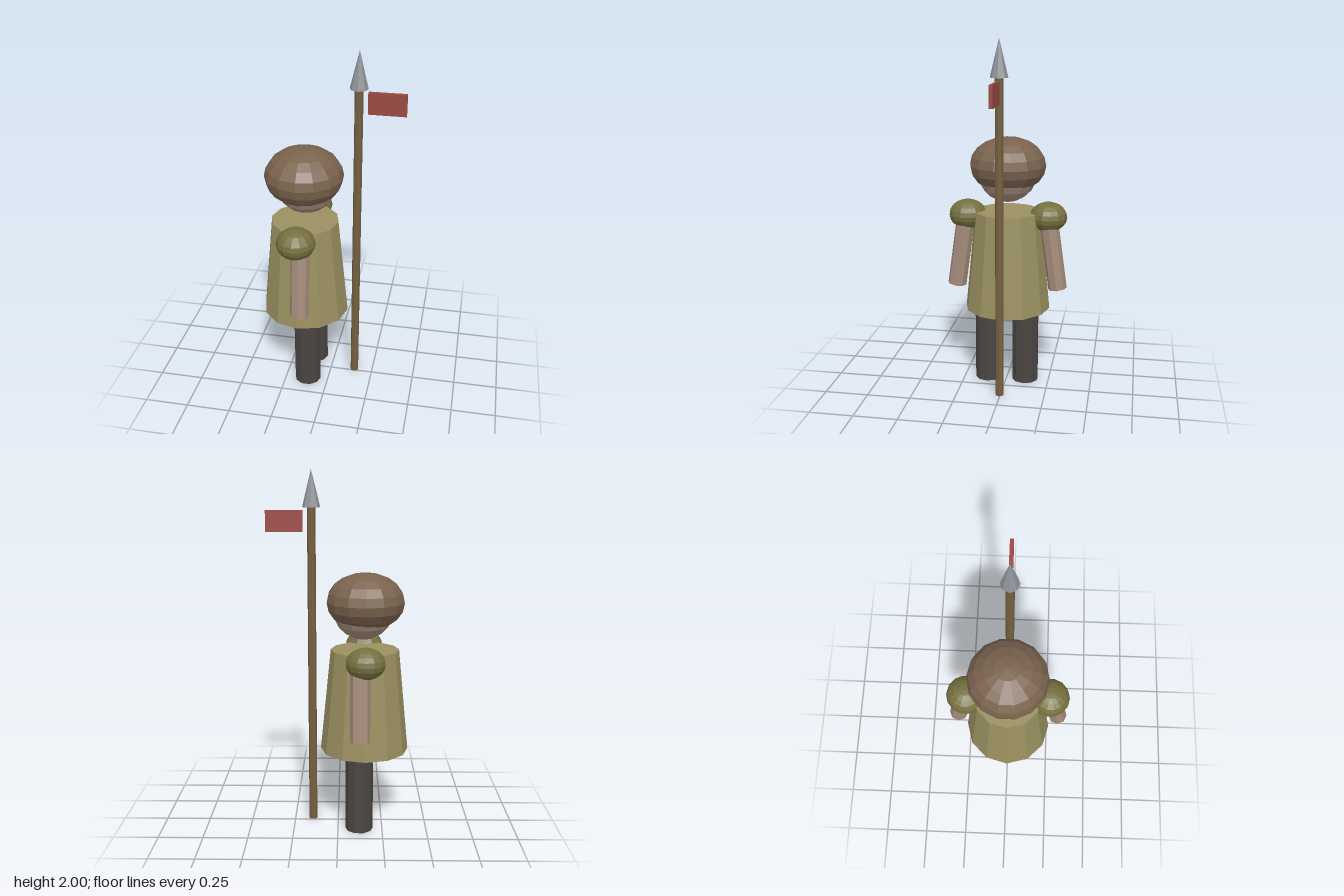
import * as THREE from 'three';

const mat = (color) => new THREE.MeshStandardMaterial({ color, flatShading: true });
const olive = mat(0x9a9060), darkOlive = mat(0x75703f), hairBrown = mat(0x7a634e);
const skin = mat(0xa58c7b), trouser = mat(0x4a4542), wood = mat(0x75603f);
const steel = mat(0x8f9398), red = mat(0x9c4a44);

export function createModel() {
  const model = new THREE.Group();
  const add = (name, geometry, material, x, y, z) => {
    const mesh = new THREE.Mesh(geometry, material);
    mesh.name = name;
    mesh.position.set(x, y, z);
    model.add(mesh);
    return mesh;
  };
  // the figure looks along +x, so round parts get a quarter turn
  const cylinder = (top, bottom, height, sides) =>
    new THREE.CylinderGeometry(top, bottom, height, sides).rotateY(Math.PI / 2);
  const ball = (r, squash, sides, rings) =>
    new THREE.SphereGeometry(r, sides, rings).scale(1, squash, 1).rotateY(Math.PI / 2);

  const cx = -0.148;

  // flared tunic, head and cap of hair
  add('tunic', cylinder(0.19, 0.247, 0.577, 12), olive, cx, 0.733, 0);
  add('head', ball(0.17, 1, 14, 10), skin, cx + 0.01, 1.25, 0);
  add('hair', ball(0.218, 0.73, 14, 10), hairBrown, cx - 0.002, 1.289, 0);

  // paired limbs
  for (const [side, s] of [['right', 1], ['left', -1]]) {
    add(side + 'Leg', cylinder(0.077, 0.077, 0.48, 10), trouser, -0.12, 0.24, s * 0.11);
    add(side + 'Shoulder', ball(0.108, 0.79, 14, 10), darkOlive, cx, 0.995, s * 0.234);
    const arm = add(side + 'Arm', cylinder(0.054, 0.054, 0.4, 8), skin, -0.12, 0.776, s * 0.268);
    arm.rotation.x = -s * 0.14;
  }

  // spear with pennant
  add('spearShaft', cylinder(0.023, 0.023, 1.79, 8), wood, 0.145, 0.907, 0);
  add('spearTip', new THREE.ConeGeometry(0.049, 0.2, 8), steel, 0.145, 1.9, 0);
  add('pennant', new THREE.BoxGeometry(0.2, 0.117, 0.02), red, 0.293, 1.726, 0);

  return model;
}
